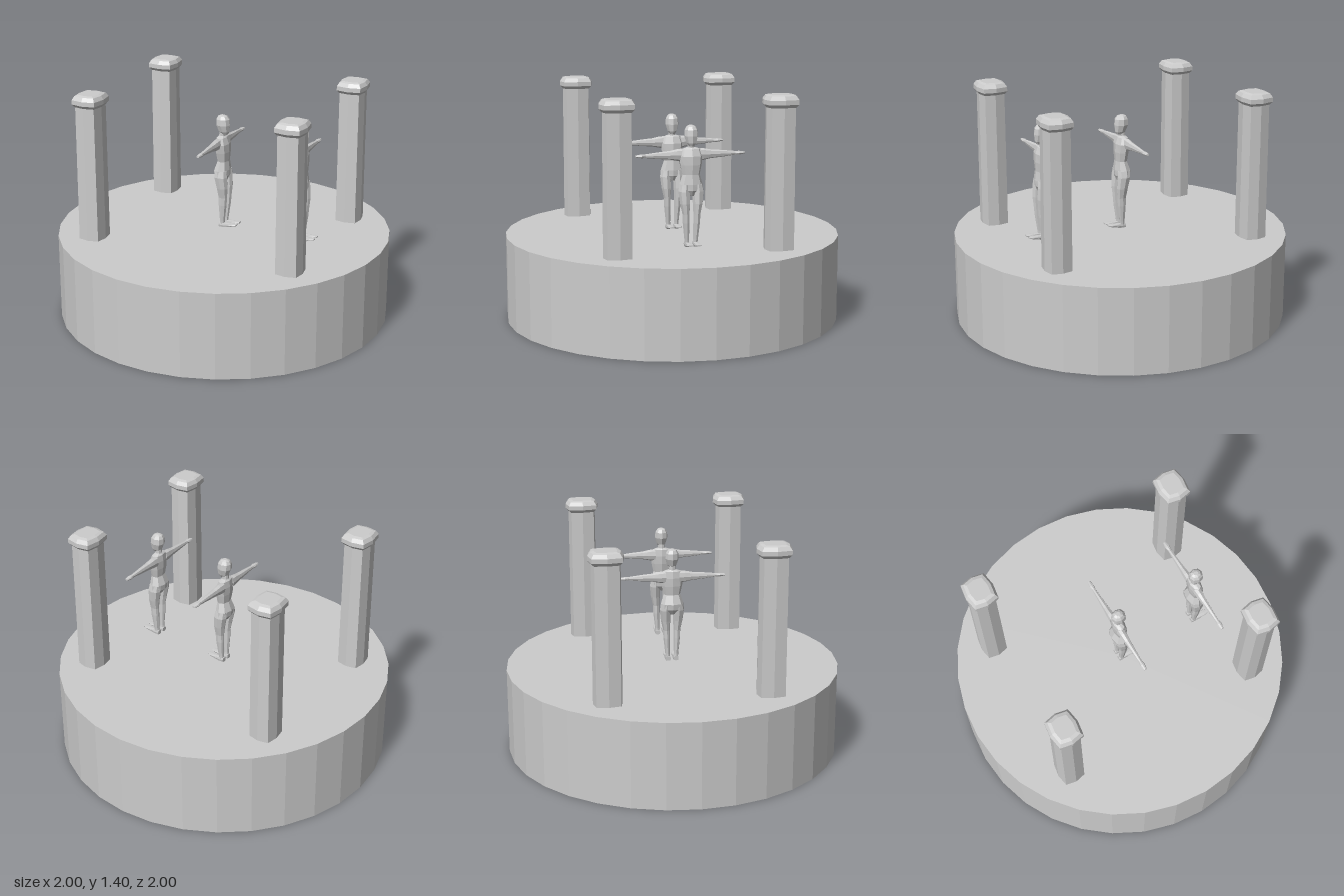
import * as THREE from 'three';

const stone = new THREE.MeshStandardMaterial({ color: 0xcccccc });
stone.name = 'lightGrey';

// Eight-sided loft; rings [y, centreX, centreZ, radiusX, radiusZ] run upward.
// corner sets the diagonal points: 0.71 is round, 1 is square.
function loft(rings, corner = 0.73) {
  const c = corner;
  const section = [[1, 0], [c, c], [0, 1], [-c, c], [-1, 0], [-c, -c], [0, -1], [c, -c]];
  const n = section.length, pos = [], index = [];
  for (const [y, cx, cz, rx, rz] of rings) {
    for (const [x, z] of section) pos.push(cx + x * rx, y, cz + z * rz);
  }
  for (let i = 0; i < rings.length - 1; i++) {
    for (let j = 0; j < n; j++) {
      const a = i * n + j, b = i * n + (j + 1) % n;
      index.push(a, a + n, b + n, a, b + n, b);
    }
  }
  const top = (rings.length - 1) * n;
  for (let j = 1; j < n - 1; j++) {
    index.push(0, j, j + 1, top, top + j + 1, top + j);
  }
  const geo = new THREE.BufferGeometry();
  geo.setAttribute('position', new THREE.Float32BufferAttribute(pos, 3));
  geo.setIndex(index);
  const flat = geo.toNonIndexed();
  flat.computeVertexNormals();
  return flat;
}

function part(parent, name, geo) {
  const mesh = new THREE.Mesh(geo, stone);
  mesh.name = name;
  parent.add(mesh);
  return mesh;
}

// Column with a bulging square section and a bevelled cap
function makeColumn() {
  const column = new THREE.Group();
  column.name = 'column';
  part(column, 'columnShaft', loft([
    [0.51, 0, 0, 0.075, 0.084],
    [1.34, 0, 0, 0.073, 0.082],
  ], 0.84));
  part(column, 'columnCap', loft([
    [1.328, 0, 0, 0.074, 0.083],
    [1.346, 0, 0, 0.087, 0.1],
    [1.372, 0, 0, 0.087, 0.1],
    [1.394, 0, 0, 0.073, 0.085],
    [1.4, 0, 0, 0.055, 0.065],
  ], 0.85));
  return column;
}

// Standing figure with arms spread, facing +x
function makeFigure() {
  const figure = new THREE.Group();
  figure.name = 'figure';
  part(figure, 'torso', loft([
    [0.825, -0.005, 0, 0.025, 0.03],
    [0.855, -0.008, 0, 0.043, 0.072],
    [0.89, -0.01, 0, 0.046, 0.068],
    [0.945, -0.003, 0, 0.032, 0.05],
    [1.0, -0.005, 0, 0.038, 0.062],
    [1.05, -0.007, 0, 0.038, 0.068],
    [1.09, -0.012, 0, 0.028, 0.055],
    [1.1, -0.012, 0, 0.018, 0.022],
  ]));
  part(figure, 'neck', loft([
    [1.09, -0.012, 0, 0.02, 0.021],
    [1.13, -0.01, 0, 0.02, 0.02],
  ]));
  part(figure, 'head', loft([
    [1.108, 0.006, 0, 0.018, 0.016],
    [1.125, 0, 0, 0.033, 0.028],
    [1.165, -0.006, 0, 0.043, 0.04],
    [1.2, -0.008, 0, 0.041, 0.037],
    [1.218, -0.01, 0, 0.029, 0.026],
    [1.225, -0.01, 0, 0.014, 0.012],
  ]));
  for (const side of [1, -1]) {
    const prefix = side > 0 ? 'front' : 'back';
    part(figure, prefix + 'Leg', loft([
      [0.54, -0.002, 0.024 * side, 0.015, 0.014],
      [0.57, 0, 0.026 * side, 0.016, 0.014],
      [0.67, 0.004, 0.031 * side, 0.026, 0.02],
      [0.72, 0.006, 0.032 * side, 0.028, 0.021],
      [0.78, 0.004, 0.037 * side, 0.035, 0.029],
      [0.85, -0.005, 0.04 * side, 0.041, 0.034],
      [0.89, -0.008, 0.035 * side, 0.04, 0.03],
    ]));
    // Flat wedge foot, toes towards +x
    const foot = loft([
      [-0.02, 0, 0, 0.014, 0.015],
      [0.015, 0, 0, 0.014, 0.016],
      [0.07, -0.007, 0, 0.007, 0.02],
      [0.093, -0.009, 0, 0.004, 0.014],
    ], 0.85);
    foot.rotateZ(-Math.PI / 2);
    const footMesh = part(figure, prefix + 'Foot', foot);
    footMesh.position.set(0, 0.543, 0.024 * side);
    // Arm lofted upward, then laid along z
    const arm = loft([
      [0.04, 0, 0, 0.024, 0.036],
      [0.075, 0, 0, 0.022, 0.034],
      [0.12, 0, 0, 0.018, 0.025],
      [0.19, 0, 0, 0.014, 0.019],
      [0.26, 0, 0, 0.01, 0.011],
      [0.285, 0, 0, 0.015, 0.011],
      [0.318, 0, 0, 0.009, 0.006],
    ]);
    arm.rotateX(side * Math.PI / 2);
    part(figure, prefix + 'Arm', arm).position.set(-0.018, 1.056, 0);
  }
  return figure;
}

export function createModel() {
  const model = new THREE.Group();
  model.name = 'columnPlatform';

  // Round base
  const base = new THREE.CylinderGeometry(1, 1, 0.517, 32).toNonIndexed();
  base.computeVertexNormals();
  part(model, 'platform', base).position.y = 0.2585;

  // Four columns
  for (const x of [-0.633, 0.632]) {
    for (const z of [-0.47, 0.466]) {
      const column = makeColumn();
      column.position.set(x, 0, z);
      model.add(column);
    }
  }

  // Two figures
  for (const [x, z] of [[0, -0.002], [0.511, 0.014]]) {
    const figure = makeFigure();
    figure.position.set(x, 0, z);
    model.add(figure);
  }
  return model;
}
